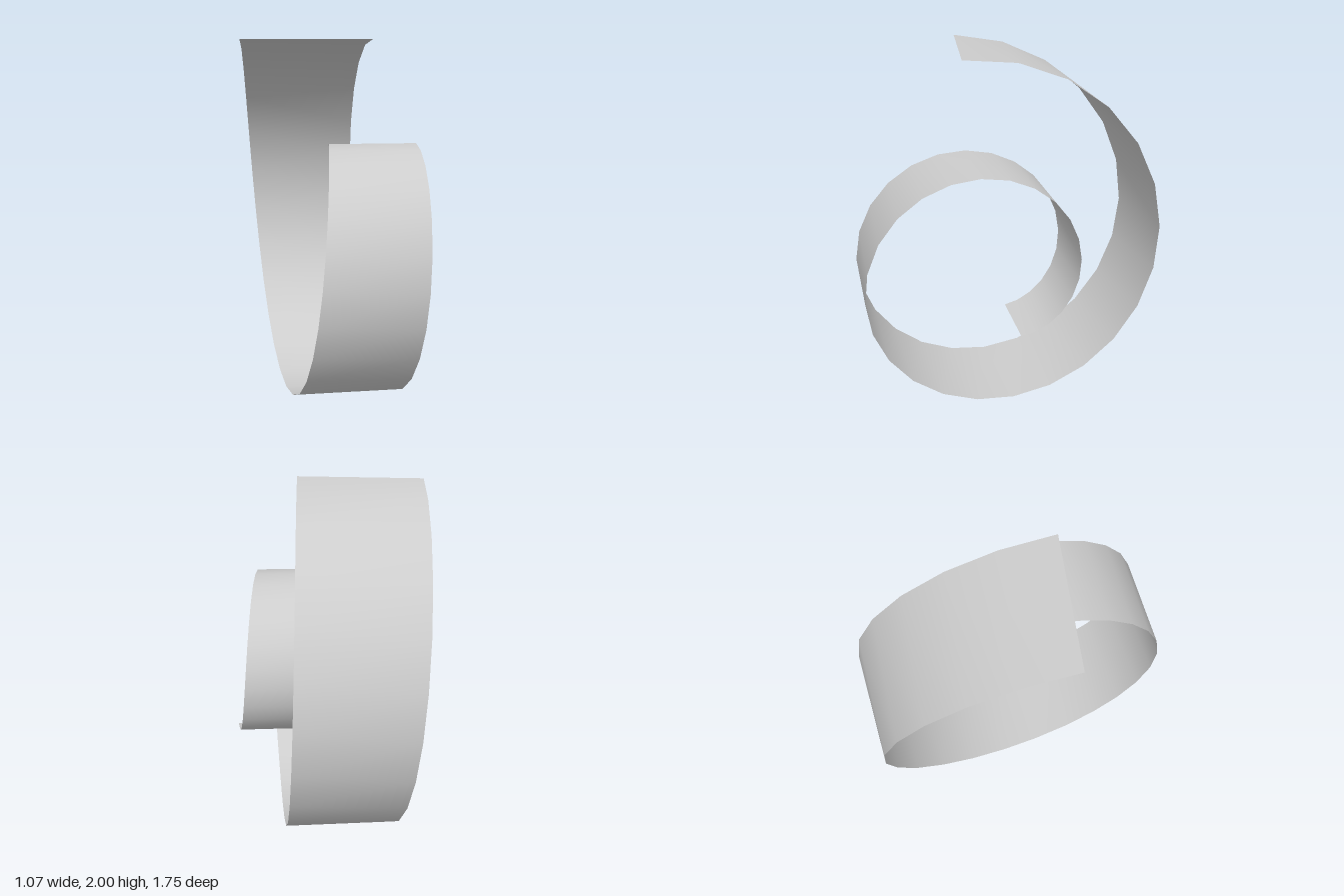
import * as THREE from 'three';

const SEGMENTS = 36;            // 15 degree steps over one and a half turns
const GROWTH = 0.28 / Math.PI;  // radius gained per radian
const TILT = 0.08;              // slight turn of the coil about the vertical

// Point on the ribbon: t runs along the coil, s across it (0 = right edge, 1 = left edge)
function ribbonPoint(t, s) {
  const angle = t * 3 * Math.PI + (s - 0.5) * 0.08 * t;
  const radius = 0.3 + GROWTH * angle;
  const y = 0.86 - radius * Math.cos(angle) + GROWTH * Math.sin(angle);
  const z = 0.141 - radius * Math.sin(angle) - GROWTH * Math.cos(angle);
  const low = THREE.MathUtils.lerp(0.155, -0.548, t);
  const high = THREE.MathUtils.lerp(0.527, 0.15, t);
  const x = THREE.MathUtils.lerp(low, high, s);
  return [x + TILT * z, y, z - TILT * x];
}

export function createModel() {
  const group = new THREE.Group();
  group.name = 'spiralRibbon';

  const grey = new THREE.MeshStandardMaterial({ color: 0xcccccc, side: THREE.DoubleSide });
  grey.name = 'light grey';

  // Widening strip wound outwards, with smooth normals
  const positions = [];
  const indices = [];
  for (let i = 0; i <= SEGMENTS; i++) {
    positions.push(...ribbonPoint(i / SEGMENTS, 0), ...ribbonPoint(i / SEGMENTS, 1));
    if (i < SEGMENTS) {
      const a = 2 * i;
      indices.push(a, a + 2, a + 1, a + 1, a + 2, a + 3);
    }
  }
  const geometry = new THREE.BufferGeometry();
  geometry.setAttribute('position', new THREE.Float32BufferAttribute(positions, 3));
  geometry.setIndex(indices);
  geometry.computeVertexNormals();

  const ribbon = new THREE.Mesh(geometry, grey);
  ribbon.name = 'ribbon';
  group.add(ribbon);
  return group;
}
